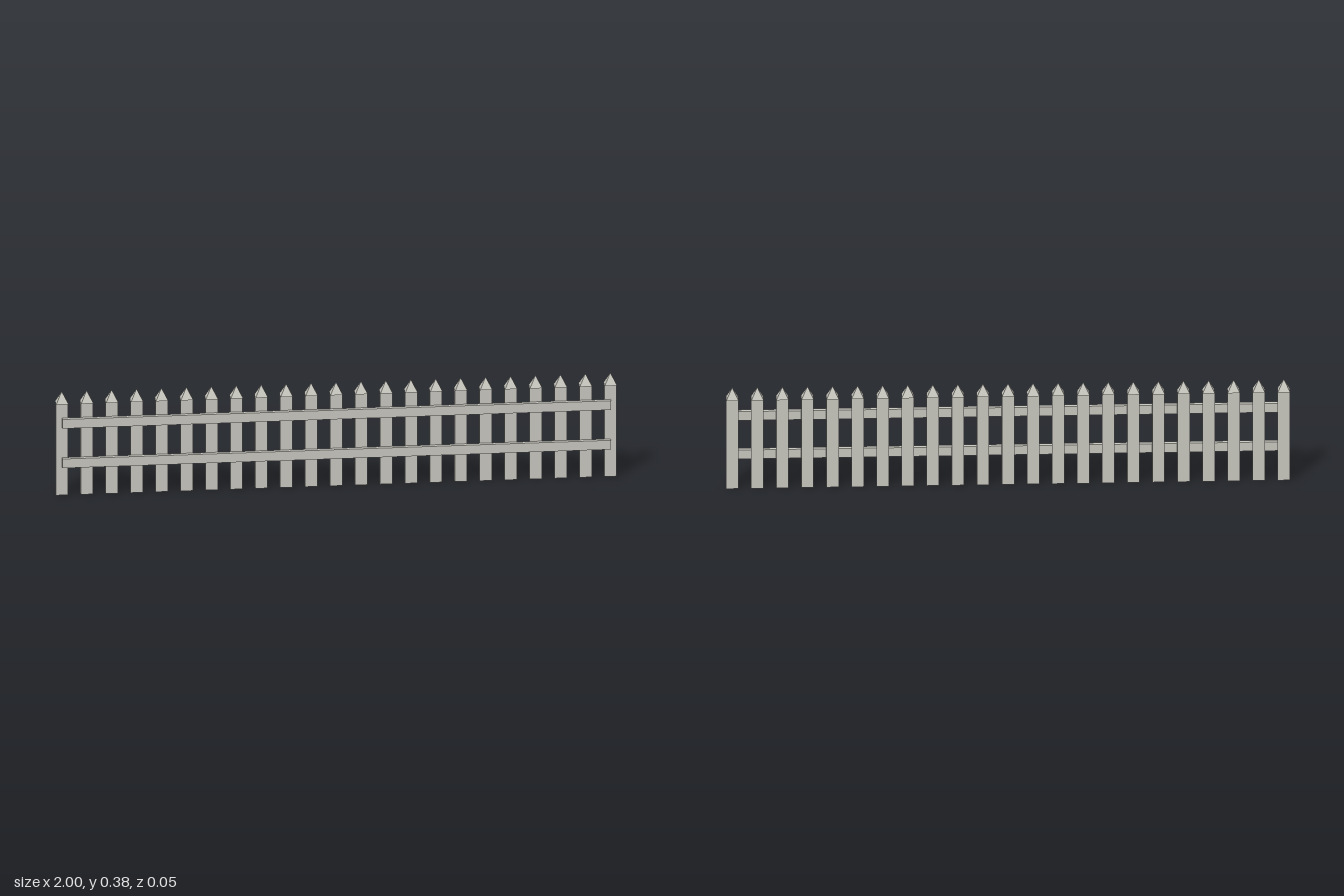
import * as THREE from 'three';

const PICKETS = 23;
const WIDTH = 0.044;    // picket width, also the side of the square tip
const DEPTH = 0.018;    // picket and rail thickness
const SHAFT = 0.341;    // picket height below the tip
const TIP = 0.042;
const SPAN = 1.956;     // first to last picket centre
const PICKET_Z = -0.0024;

export function createModel() {
  const fence = new THREE.Group();
  fence.name = 'picketFence';

  const wood = new THREE.MeshStandardMaterial({ color: 0xc6c5bd });
  wood.name = 'pale grey wood';

  const add = (parent, name, geometry, x, y, z) => {
    const mesh = new THREE.Mesh(geometry, wood);
    mesh.name = name;
    mesh.position.set(x, y, z);
    parent.add(mesh);
  };

  // Square pyramid with its sides facing x and z
  const tipGeometry = new THREE.ConeGeometry(WIDTH / Math.SQRT2, TIP, 4)
    .rotateY(Math.PI / 4).toNonIndexed();
  tipGeometry.computeVertexNormals();
  const shaftGeometry = new THREE.BoxGeometry(WIDTH, SHAFT, DEPTH);

  // Pickets: thin board with an overhanging pointed cap
  for (let i = 0; i < PICKETS; i++) {
    const picket = new THREE.Group();
    picket.name = 'picket';
    picket.position.set(SPAN * (i / (PICKETS - 1) - 0.5), 0, PICKET_Z);
    add(picket, 'picketBoard', shaftGeometry, 0, SHAFT / 2, 0);
    add(picket, 'picketTip', tipGeometry, 0, SHAFT + TIP / 2, 0);
    fence.add(picket);
  }

  // Two rails fixed to the front of the pickets
  const railGeometry = new THREE.BoxGeometry(SPAN, 0.034, DEPTH);
  add(fence, 'lowerRail', railGeometry, 0, 0.123, PICKET_Z + DEPTH);
  add(fence, 'upperRail', railGeometry, 0, 0.27, PICKET_Z + DEPTH);

  return fence;
}
